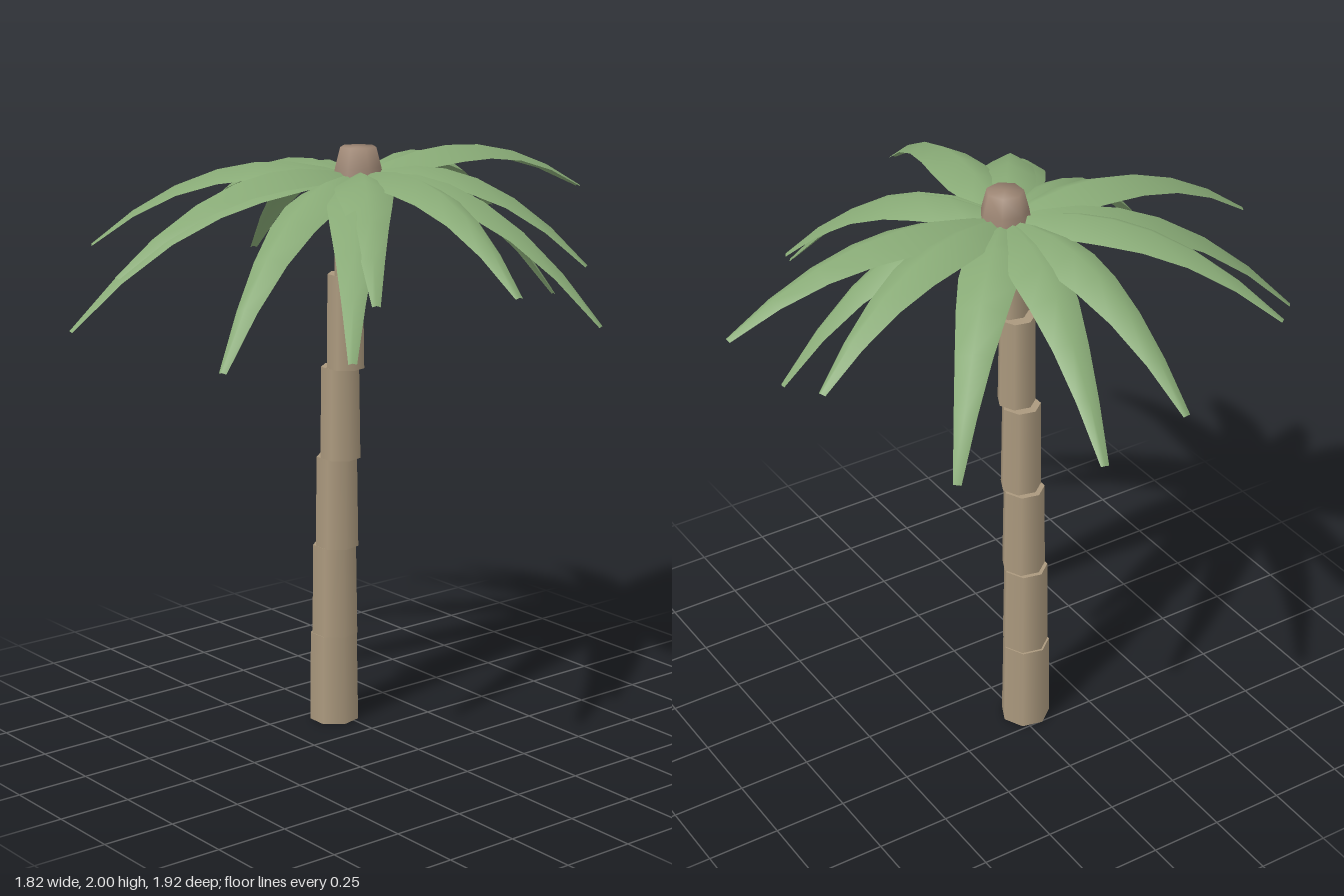
import * as THREE from 'three';

const SIDES = 7;

// Arched leaf folded along its midrib, running from the crown to its tip
function leafGeometry(root, tip) {
  const span = new THREE.Vector3(tip.x - root.x, 0, tip.z - root.z);
  const length = span.length();
  const out = span.clone().normalize();
  const side = new THREE.Vector3(out.z, 0, -out.x);
  const control = root.clone().addScaledVector(out, length * 0.5);
  control.y = 2.02 + (tip.y - 1.45) * 0.21;
  const midrib = new THREE.QuadraticBezierCurve3(root, control, tip);

  // position along the leaf, half width
  const profile = [[0, 0.03], [0.12, 0.06], [0.25, 0.09], [0.38, 0.092],
    [0.52, 0.079], [0.68, 0.058], [0.84, 0.036], [1, 0.013]];
  const positions = [];
  const index = [];
  profile.forEach(([t, half], i) => {
    const p = midrib.getPoint(t);
    const up = new THREE.Vector3().crossVectors(midrib.getTangent(t), side);
    if (up.y < 0) up.negate();
    for (const s of [-1, 0, 1]) {
      const v = p.clone().addScaledVector(side, s * half);
      v.addScaledVector(up, -Math.abs(s) * half * 0.5);
      positions.push(v.x, v.y, v.z);
    }
    if (i === 0) return;
    const b = i * 3;
    const a = b - 3;
    for (let k = 0; k < 2; k++) {
      index.push(a + k, a + k + 1, b + k, a + k + 1, b + k + 1, b + k);
    }
  });
  const geometry = new THREE.BufferGeometry();
  geometry.setAttribute('position', new THREE.Float32BufferAttribute(positions, 3));
  geometry.setIndex(index);
  geometry.computeVertexNormals();
  return geometry;
}

export function createModel() {
  const model = new THREE.Group();
  model.name = 'palmTree';

  const bark = new THREE.MeshStandardMaterial({ color: 0xab997e });
  bark.name = 'bark';
  const husk = new THREE.MeshStandardMaterial({ color: 0x9d8674 });
  husk.name = 'husk';
  const green = new THREE.MeshStandardMaterial({ color: 0x88aa76, side: THREE.DoubleSide });
  green.name = 'leafGreen';

  // Trunk of stacked, gently shifting segments: bottom y, top y, centre x, radius
  const trunk = new THREE.Group();
  trunk.name = 'trunk';
  [
    [0, 0.315, -0.172, 0.085],
    [0.315, 0.63, -0.166, 0.079],
    [0.63, 0.943, -0.152, 0.074],
    [0.943, 1.257, -0.132, 0.069],
    [1.257, 1.575, -0.103, 0.064],
    [1.575, 1.85, -0.067, 0.059],
  ].forEach(([y0, y1, x, r], i) => {
    const segment = new THREE.Mesh(
      new THREE.CylinderGeometry(r - 0.004, r, y1 - y0, SIDES), bark);
    segment.name = `trunkSegment${i + 1}`;
    segment.position.set(x, (y0 + y1) / 2, 0.03);
    segment.rotation.y = Math.PI;
    trunk.add(segment);
  });
  model.add(trunk);

  // Crown knob
  const knobProfile = [[0, 1.815], [0.088, 1.82], [0.091, 1.85], [0.077, 1.935], [0.06, 2], [0, 2]]
    .map(([r, y]) => new THREE.Vector2(r, y));
  const knob = new THREE.Mesh(new THREE.LatheGeometry(knobProfile, SIDES), husk);
  knob.name = 'crown';
  knob.position.set(-0.046, 0, 0.02);
  knob.rotation.y = Math.PI;
  model.add(knob);

  // Leaves, listed by tip position
  const leaves = new THREE.Group();
  leaves.name = 'leaves';
  const root = new THREE.Vector3(-0.046, 1.9, 0.02);
  [
    [-0.045, 1.78, -0.965], [0.115, 1.45, -0.71], [0.545, 1.64, -0.45],
    [0.745, 1.49, -0.33], [0.91, 1.67, 0.17], [0.625, 1.64, 0.485],
    [0.7, 1.5, 0.635], [0.35, 1.44, 0.855], [-0.06, 1.68, 0.955],
    [-0.36, 1.46, 0.94], [-0.69, 1.66, 0.64], [-0.912, 1.61, 0.11],
    [-0.68, 1.47, -0.555], [-0.905, 1.53, -0.18], [-0.335, 1.69, -0.81],
  ].forEach((tip, i) => {
    const leaf = new THREE.Mesh(leafGeometry(root, new THREE.Vector3(...tip)), green);
    leaf.name = `leaf${i + 1}`;
    leaves.add(leaf);
  });
  model.add(leaves);

  return model;
}
